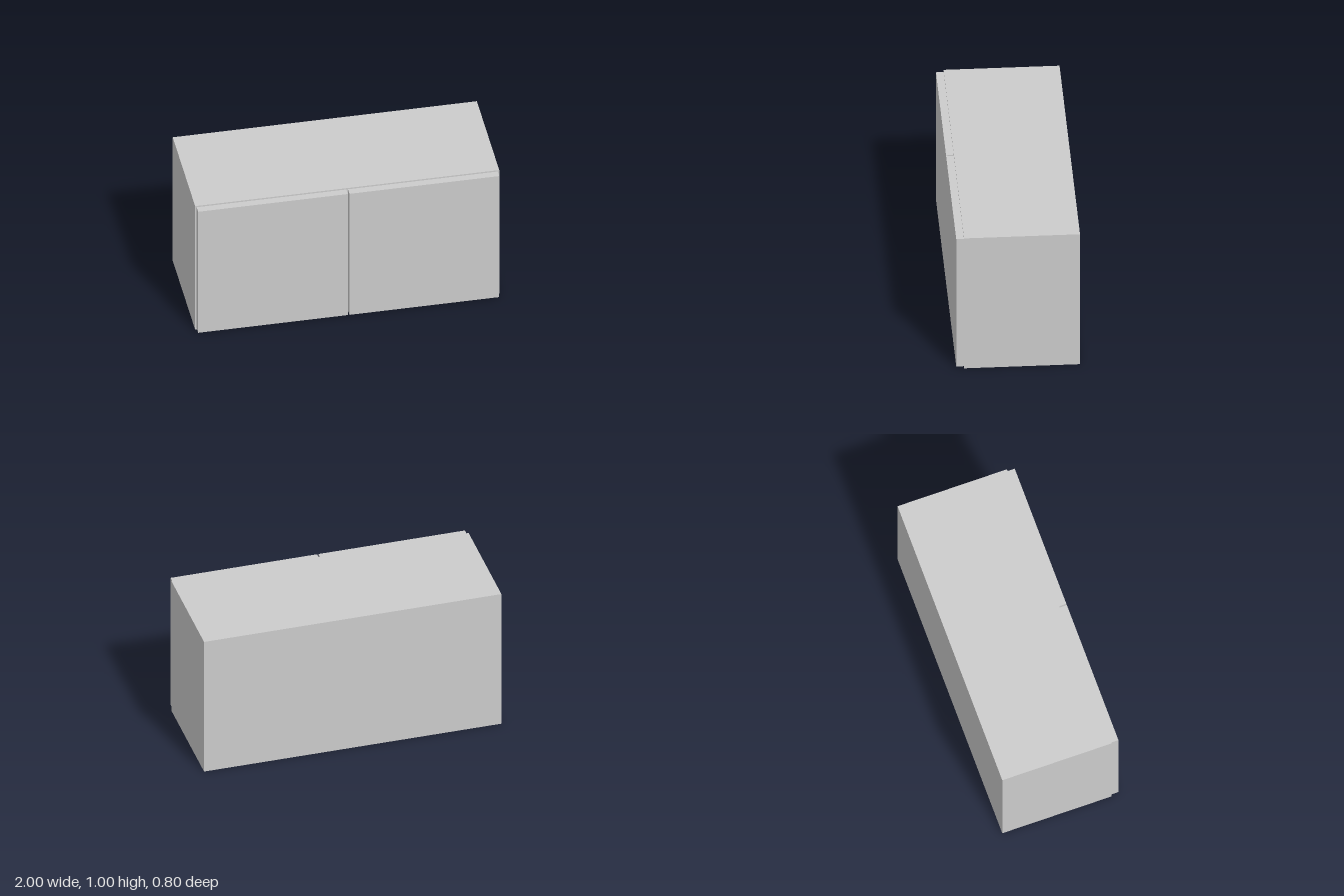
import * as THREE from 'three';

// Two-door wall cabinet made of flat boards
export function createModel() {
  const group = new THREE.Group();
  const material = new THREE.MeshStandardMaterial({ color: 0xcccccc });
  const T = 0.05; // board thickness
  const back = -0.4, front = 0.35; // carcass depth range

  // Box given by its extents on each axis
  function board(name, [x0, x1], [y0, y1], [z0, z1]) {
    const mesh = new THREE.Mesh(new THREE.BoxGeometry(x1 - x0, y1 - y0, z1 - z0), material);
    mesh.position.set((x0 + x1) / 2, (y0 + y1) / 2, (z0 + z1) / 2);
    mesh.name = name;
    group.add(mesh);
  }

  // Carcass: back, bottom, top and inner shelf between the sides
  const inner = [-1 + T, 1 - T];
  board('backPanel', inner, [0, 1], [back, back + T]);
  board('bottomPanel', inner, [0, T], [back + T, front]);
  board('topPanel', inner, [1 - T, 1], [back + T, front]);
  board('shelf', inner, [0.475, 0.525], [back + T, front]);

  // Sides and overlay doors with a narrow gap in the middle
  board('leftSide', [1 - T, 1], [0, 1], [back, front]);
  board('rightSide', [-1, -1 + T], [0, 1], [back, front]);
  board('leftDoor', [0.005, 0.99], [0.01, 0.99], [front, 0.4]);
  board('rightDoor', [-0.99, -0.005], [0.01, 0.99], [front, 0.4]);

  return group;
}
